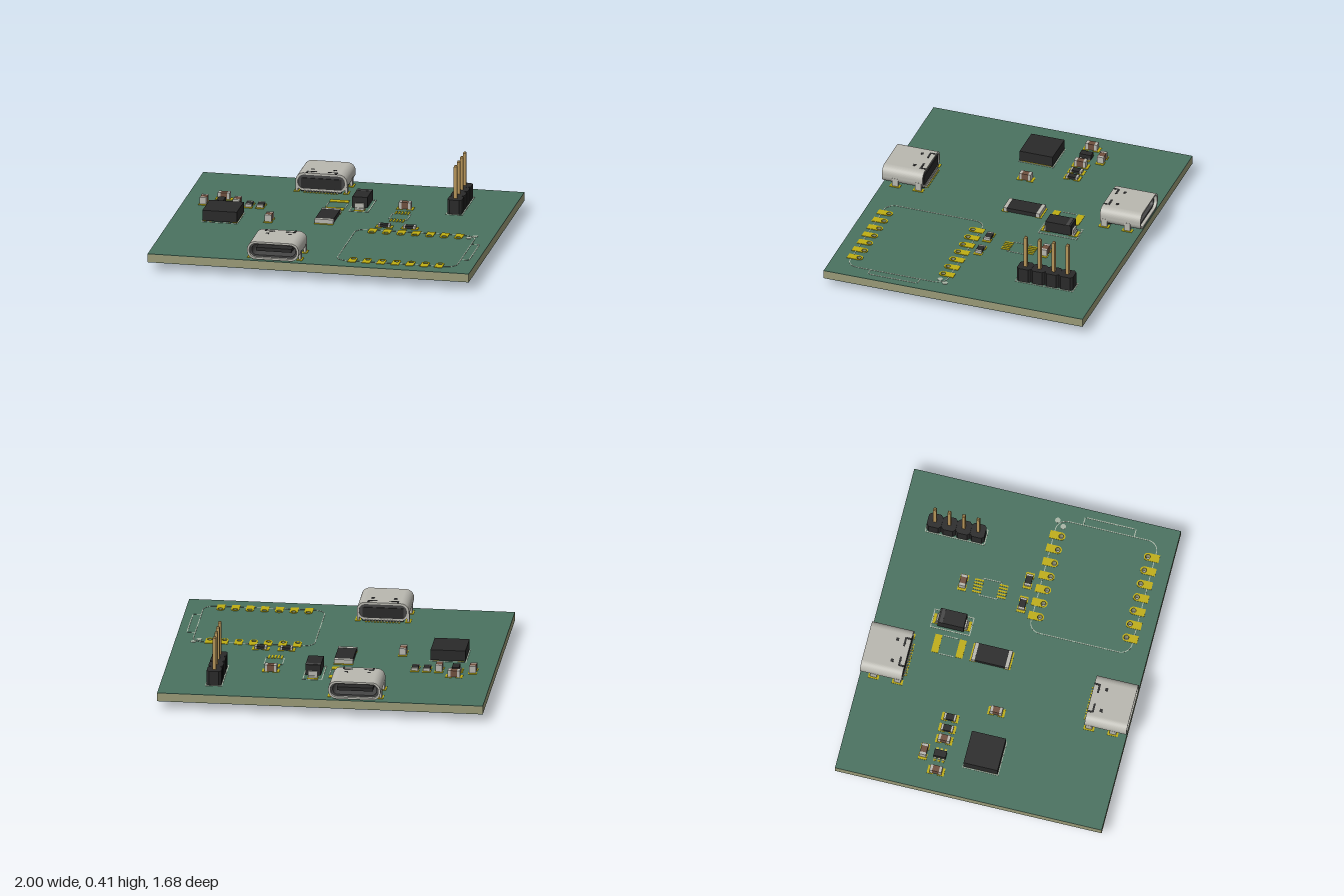
import * as THREE from 'three';

const mat = (color) => new THREE.MeshStandardMaterial({ color });
const M = {
  mask: mat(0x4a7260), core: mat(0x9b9b78), gold: mat(0xbfae12), silk: mat(0xa9b5a6),
  black: mat(0x2a2a2a), dark: mat(0x454545), steel: mat(0xb9b8b0), brown: mat(0x70503f), pin: mat(0xb8965a),
};
const BOTTOM = 0.053, TOP = 0.107, SKIN = 0.003;
const holeX = [0, 1, 2, 3, 4, 5, 6].map((i) => 0.25 + i * 0.09);
const holeRows = [0.138, 0.682];

function add(parent, name, geometry, material, x = 0, y = 0, z = 0) {
  const mesh = new THREE.Mesh(geometry, material);
  mesh.name = name;
  mesh.position.set(x, y, z);
  parent.add(mesh);
  return mesh;
}
// box centred on x and z, standing on y
const box = (parent, name, m, w, h, d, x, y, z) =>
  add(parent, name, new THREE.BoxGeometry(w, h, d), m, x, y + h / 2, z);
const pad = (parent, w, d, x, z) => box(parent, 'pad', M.gold, w, 0.003, d, x, TOP, z);
const silkLine = (parent, w, d, x, z) => box(parent, 'silkLine', M.silk, w, 0.002, d, x, TOP, z);

function group(parent, name, x = 0, z = 0, turn = 0) {
  const g = new THREE.Group();
  g.name = name;
  g.position.set(x, 0, z);
  g.rotation.y = turn;
  parent.add(g);
  return g;
}
function roundRect(s, w, h, r, cx = 0, cy = 0) {
  const x = w / 2 - r, y = h / 2 - r;
  s.absarc(cx + x, cy + y, r, 0, Math.PI / 2);
  s.absarc(cx - x, cy + y, r, Math.PI / 2, Math.PI);
  s.absarc(cx - x, cy - y, r, Math.PI, Math.PI * 1.5);
  s.absarc(cx + x, cy - y, r, Math.PI * 1.5, Math.PI * 2);
  s.closePath();
  return s;
}
const circle = (x, y, r) => new THREE.Path().absarc(x, y, r, 0, Math.PI * 2);
const extrude = (shape, depth) =>
  new THREE.ExtrudeGeometry(shape, { depth, bevelEnabled: false, curveSegments: 10 });
// extrusion lying flat; shape y points to -z
const flat = (shape, h) => extrude(shape, h).rotateX(-Math.PI / 2);

function silkFrame(parent, w, d, x, z, t = 0.006) {
  for (const s of [-1, 1]) {
    silkLine(parent, w + t, t, x, z + s * d / 2);
    silkLine(parent, t, d, x + s * w / 2, z);
  }
}

// Drilled board with a mask layer on both faces
function board(root) {
  const g = group(root, 'board');
  const shape = new THREE.Shape([[-1, -0.838], [1, -0.838], [1, 0.838], [-1, 0.838]].map((p) => new THREE.Vector2(...p)));
  for (const x of holeX) for (const z of holeRows) shape.holes.push(circle(x, -z, 0.015));
  add(g, 'boardCore', flat(shape, TOP - BOTTOM - 2 * SKIN), M.core, 0, BOTTOM + SKIN, 0);
  add(g, 'topMask', flat(shape, SKIN), M.mask, 0, TOP - SKIN, 0);
  add(g, 'bottomMask', flat(shape, SKIN), M.mask, 0, BOTTOM, 0);
}

// Two rows of castellated pads and the printed module outline
function moduleFootprint(root) {
  const g = group(root, 'moduleFootprint');
  holeRows.forEach((z, row) => {
    const out = row ? -1 : 1;
    for (const x of holeX) {
      const s = new THREE.Shape();
      s.moveTo(0.025, 0.072 * out);
      s.lineTo(-0.025, 0.072 * out);
      s.lineTo(-0.025, 0);
      s.absarc(0, 0, 0.025, Math.PI, 0, out > 0 ? false : true);
      s.closePath();
      s.holes.push(circle(0, 0, 0.015));
      add(g, 'modulePad', flat(s, 0.003), M.gold, x, TOP, z);
      const ring = new THREE.Shape().absarc(0, 0, 0.022, 0, Math.PI * 2);
      ring.holes.push(circle(0, 0, 0.015));
      add(g, 'bottomRing', flat(ring, 0.002), M.gold, x, BOTTOM - 0.002, z);
    }
  });
  const outline = roundRect(new THREE.Shape(), 0.752, 0.64, 0.07);
  outline.holes.push(roundRect(new THREE.Path(), 0.742, 0.63, 0.065));
  add(g, 'moduleOutline', flat(outline, 0.002), M.silk, 0.521, TOP, 0.409);
  silkLine(g, 0.006, 0.3, 0.945, 0.41);
  for (const z of [0.25, 0.57]) silkLine(g, 0.045, 0.006, 0.92, z);
  for (const [x, z] of [[0.887, 0.092], [0.855, 0.134]])
    add(g, 'markerDot', new THREE.CylinderGeometry(0.017, 0.017, 0.002, 16), M.silk, x, TOP + 0.001, z);
}

// Receptacle with its mouth at local z = 0, facing +z
function connector(root, name, x, z, turn) {
  const g = group(root, name, x, z, turn);
  const cy = 0.172;
  const shell = roundRect(new THREE.Shape(), 0.32, 0.112, 0.05);
  shell.holes.push(roundRect(new THREE.Path(), 0.294, 0.088, 0.04));
  add(g, 'shell', extrude(shell, 0.262), M.steel, 0, cy, -0.262);
  add(g, 'innerBody', extrude(roundRect(new THREE.Shape(), 0.296, 0.09, 0.04), 0.05), M.dark, 0, cy, -0.255);
  const liner = roundRect(new THREE.Shape(), 0.294, 0.088, 0.04);
  liner.holes.push(roundRect(new THREE.Path(), 0.27, 0.066, 0.03));
  add(g, 'liner', extrude(liner, 0.19), M.dark, 0, cy, -0.21);
  box(g, 'tongue', M.black, 0.22, 0.022, 0.18, 0, cy - 0.011, -0.12);
  box(g, 'rearBlock', M.black, 0.25, 0.085, 0.06, 0, TOP + 0.003, -0.231);
  for (const s of [-1, 1]) {
    for (const lz of [-0.085, -0.235]) {
      box(g, 'mountingLeg', M.steel, 0.014, 0.075, 0.04, s * 0.154, TOP - 0.02, lz);
      pad(g, 0.034, 0.066, s * 0.154, lz);
      box(g, 'bottomLegPad', M.gold, 0.022, 0.002, 0.05, s * 0.154, BOTTOM - 0.002, lz);
    }
    // pressed slots and spring windows in the shell top
    box(g, 'shellSlot', M.black, 0.06, 0.002, 0.012, s * 0.065, 0.2275, -0.228);
    box(g, 'shellSlot', M.black, 0.012, 0.002, 0.03, s * 0.091, 0.2275, -0.247);
    box(g, 'springWindow', M.black, 0.02, 0.002, 0.018, s * 0.07, 0.2275, -0.18);
  }
  for (let i = 0; i < 12; i++) {
    const px = (i - 5.5) * 0.0185;
    pad(g, 0.011, 0.035, px, -0.262);
    box(g, 'contact', M.steel, 0.007, 0.008, 0.02, px, TOP + 0.003, -0.262);
  }
}

// Two-terminal part lying along local z
function chip(root, name, x, z, turn, { w = 0.042, l = 0.075, h = 0.042, end = 0.017, body = M.brown, padW = 0.053, padL = 0.106 }) {
  const g = group(root, name, x, z, turn);
  const y = TOP + 0.003;
  box(g, 'chipBody', body, w - 0.002, h - 0.001, l - 2 * end, 0, y, 0);
  for (const s of [-1, 1]) {
    box(g, 'terminal', M.steel, w, h, end, 0, y, s * (l - end) / 2);
    const pd = Math.max(0.04, end + (padL - l) / 2);
    pad(g, padW, pd, 0, s * (padL - pd) / 2);
  }
}

function smallParts(root) {
  const R = Math.PI / 2;
  [[-0.87, -0.235, 0], [-0.663, -0.235, 0], [-0.41, 0.03, 0], [-0.765, -0.337, R], [0.356, -0.37, R]]
    .forEach(([x, z, t]) => chip(root, 'capacitor', x, z, t, {}));
  [[-0.588, -0.235, 0], [-0.515, -0.235, 0], [0.305, 0.015, R], [0.463, 0.015, R]]
    .forEach(([x, z, t]) => chip(root, 'resistor', x, z, t, { h: 0.017, end: 0.012, body: M.black }));
  chip(root, 'largeResistor', -0.069, -0.083, 0,
    { w: 0.116, l: 0.235, h: 0.026, end: 0.022, body: M.black, padW: 0.118, padL: 0.256 });

  // Diode with bent metal ends
  const d = group(root, 'diode', 0.088, -0.372);
  box(d, 'diodeBody', M.black, 0.094, 0.068, 0.165, 0, TOP + 0.013, 0);
  box(d, 'polarityBand', M.dark, 0.095, 0.001, 0.02, 0, TOP + 0.081, -0.06);
  for (const s of [-1, 1]) {
    box(d, 'lead', M.steel, 0.058, 0.012, 0.05, 0, TOP + 0.003, s * 0.075);
    box(d, 'lead', M.steel, 0.058, 0.04, 0.012, 0, TOP + 0.003, s * 0.087);
    pad(d, 0.064, 0.06, 0, s * 0.088);
  }
  silkFrame(d, 0.116, 0.245, 0, 0);

  // Inductor
  const l = group(root, 'inductor', -0.697, 0.028);
  box(l, 'inductorBody', M.black, 0.214, 0.066, 0.214, 0, TOP + 0.006, 0);
  for (const s of [-1, 1]) pad(l, 0.05, 0.19, s * 0.08, 0);
  silkFrame(l, 0.22, 0.22, 0, 0);

  // Six-legged regulator
  const u = group(root, 'regulator', -0.765, -0.235);
  box(u, 'regulatorBody', M.black, 0.044, 0.03, 0.076, 0, TOP + 0.004, 0);
  for (const s of [-1, 1]) for (const z of [-0.026, 0, 0.026]) {
    pad(u, 0.028, 0.015, s * 0.03, z);
    box(u, 'leg', M.steel, 0.014, 0.008, 0.01, s * 0.026, TOP + 0.003, z);
  }

  // Unfilled footprints
  const f = group(root, 'emptyFootprints');
  for (const z of [-0.431, -0.278]) pad(f, 0.118, 0.043, -0.067, z);
  for (const s of [-1, 1]) silkLine(f, 0.005, 0.09, -0.067 + s * 0.06, -0.355);
  for (let i = 0; i < 5; i++) for (const z of [-0.277, -0.123]) pad(f, 0.011, 0.055, 0.317 + i * 0.0195, z);
  for (const s of [-1, 1]) {
    silkLine(f, 0.005, 0.115, 0.356 + s * 0.056, -0.2);
    for (const t of [-1, 1]) silkLine(f, 0.012, 0.005, 0.356 + s * 0.05, -0.2 + t * 0.057);
  }
}

// Four-pin header, pins passing through the board
function header(root) {
  const g = group(root, 'pinHeader', 0.672, -0.49);
  const corner = [[-0.045, -0.03], [-0.03, -0.045], [0.03, -0.045], [0.045, -0.03],
    [0.045, 0.03], [0.03, 0.045], [-0.03, 0.045], [-0.045, 0.03]];
  const cell = new THREE.Shape(corner.map((p) => new THREE.Vector2(...p)));
  for (let i = 0; i < 4; i++) {
    const z = (i - 1.5) * 0.0905;
    add(g, 'headerCell', flat(cell, 0.09), M.black, 0, TOP + 0.002, z);
    box(g, 'pin', M.pin, 0.02, 0.394, 0.02, 0, 0.008, z);
    for (const end of [0, 1]) {
      const tip = new THREE.CylinderGeometry(end ? 0.008 : 0.0141, end ? 0.0141 : 0.008, 0.008, 4).rotateY(Math.PI / 4);
      add(g, 'pinTip', tip, M.pin, 0, end ? 0.406 : 0.004, z);
    }
    add(g, 'pinRing', new THREE.CylinderGeometry(0.024, 0.024, 0.002, 16), M.gold, 0, BOTTOM - 0.001, z);
  }
  silkFrame(g, 0.098, 0.37, 0, 0);
}

export function createModel() {
  const root = new THREE.Group();
  root.name = 'circuitBoard';
  board(root);
  moduleFootprint(root);
  connector(root, 'frontConnector', -0.22, 0.838, 0);
  connector(root, 'backConnector', -0.211, -0.838, Math.PI);
  smallParts(root);
  header(root);
  return root;
}
